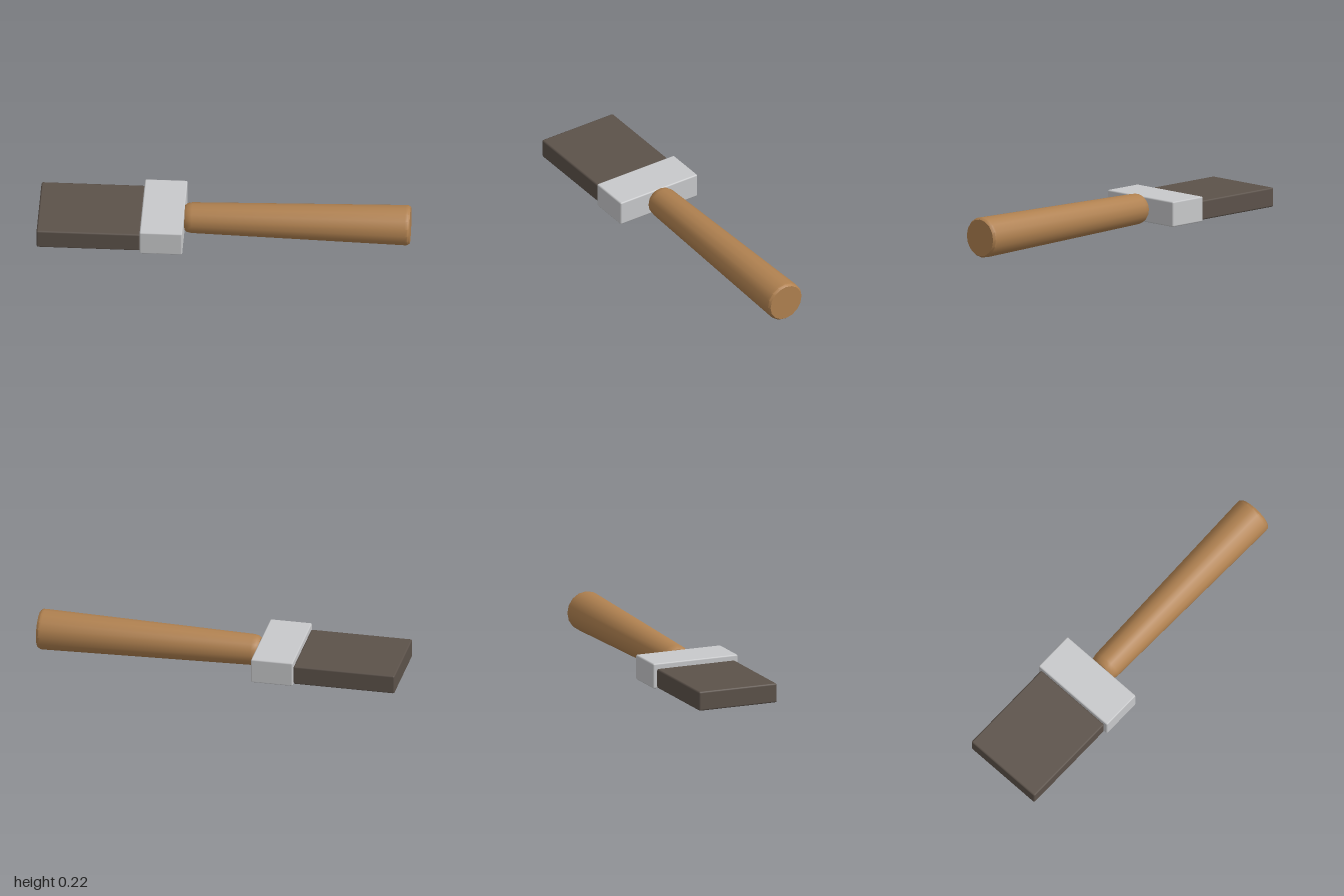
import * as THREE from 'three';
import { RoundedBoxGeometry } from 'three/addons/geometries/RoundedBoxGeometry.js';
import { toCreasedNormals } from 'three/addons/utils/BufferGeometryUtils.js';

const paint = (name, color) => {
  const material = new THREE.MeshStandardMaterial({ color });
  material.name = name;
  return material;
};

// Box with softened edges, given by its lower and upper corners
function bevelledBox(name, min, max, bevel, material) {
  const size = max.map((v, i) => v - min[i]);
  const mesh = new THREE.Mesh(new RoundedBoxGeometry(...size, 1, bevel), material);
  mesh.position.set(...max.map((v, i) => (v + min[i]) / 2));
  mesh.name = name;
  return mesh;
}

export function createModel() {
  const wood = paint('wood', 0xb08150);
  const metal = paint('metal', 0xc8c9cb);
  const bristle = paint('bristle', 0x5c524a);

  const model = new THREE.Group();
  model.name = 'paintbrush';

  // Flat block of bristles and the metal band holding it
  model.add(
    bevelledBox('bristles', [-1, 0.043, -0.23], [-0.443, 0.149, 0.23], 0.009, bristle),
    bevelledBox('ferrule', [-0.444, 0.039, -0.25], [-0.214, 0.177, 0.25], 0.008, metal),
  );

  // Tapered round handle with bevelled ends, lying along x
  const profile = [
    [0, -0.214], [0.068, -0.214], [0.079, -0.2], [0.084, -0.175],
    [0.11, 0.975], [0.109, 0.988], [0.1, 1], [0, 1],
  ].map(([r, y]) => new THREE.Vector2(r, y));
  const handle = new THREE.Mesh(toCreasedNormals(new THREE.LatheGeometry(profile, 16), 0.6), wood);
  handle.name = 'handle';
  handle.rotation.z = -Math.PI / 2;
  handle.position.y = 0.111;
  model.add(handle);

  return model;
}
